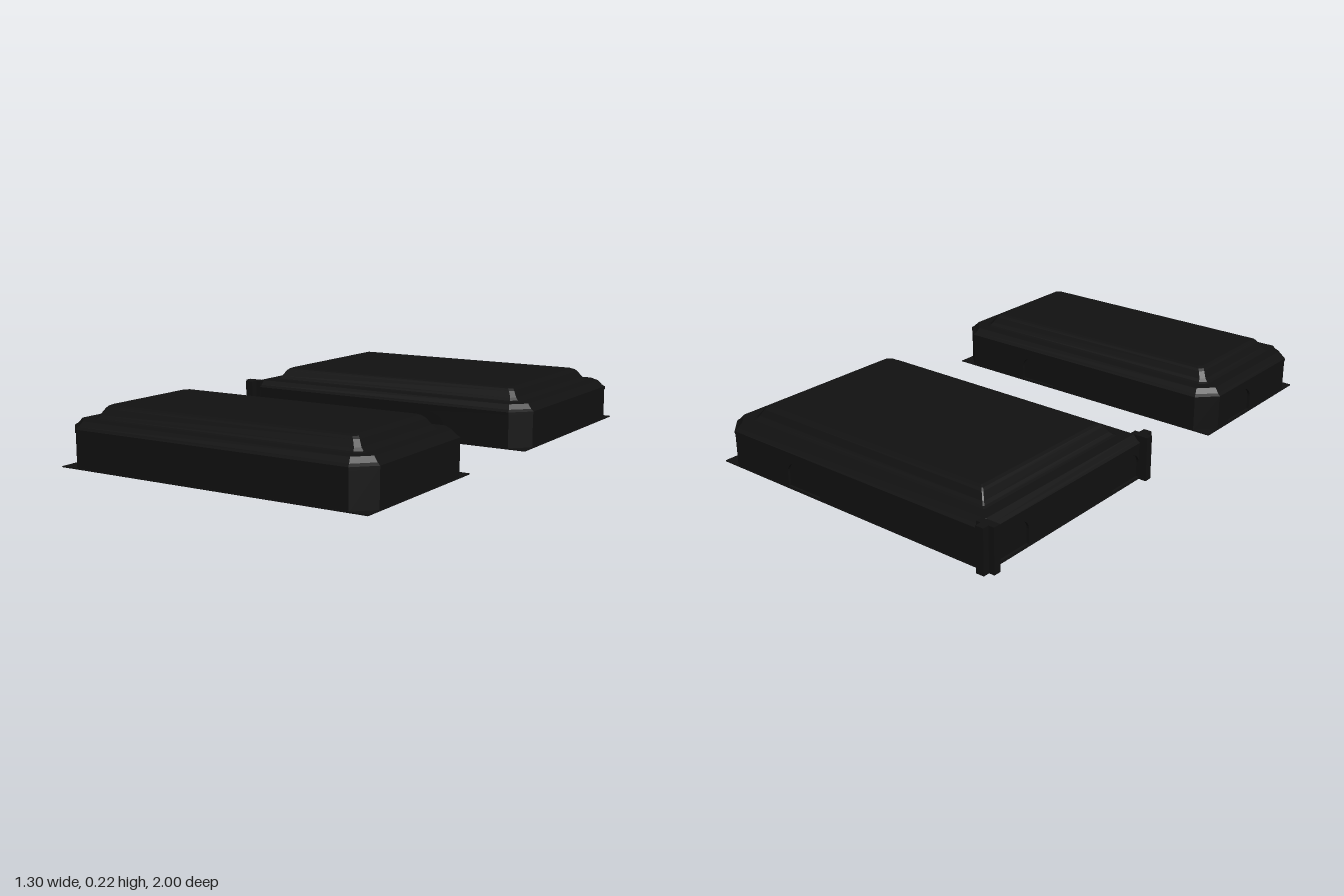
import * as THREE from 'three';

const mat = new THREE.MeshStandardMaterial({ color: 0x111111, flatShading: true });
const CUT = 0.07, WALL_H = 0.135, SKIN = 0.012;

function add(group, name, geometry) {
  const mesh = new THREE.Mesh(geometry, mat);
  mesh.name = name;
  group.add(mesh);
  return mesh;
}

// Box given by its limits on each axis
function slab(group, name, x0, x1, y0, y1, z0, z1) {
  add(group, name, new THREE.BoxGeometry(x1 - x0, y1 - y0, z1 - z0))
    .position.set((x0 + x1) / 2, (y0 + y1) / 2, (z0 + z1) / 2);
}

// Plan outline inset by d, counter-clockwise from above, with cut corners
function outline(b, d) {
  const x0 = b.x0 + d, x1 = b.x1 - d, z0 = b.z0 + d, z1 = b.z1 - d;
  const r = Math.max(0.015, CUT - 0.59 * d);
  const l = b.squareLeft ? 0.004 : r;
  return [[x1, z1 - r], [x1, z0 + r], [x1 - r, z0], [x0 + l, z0],
    [x0, z0 + l], [x0, z1 - l], [x0 + l, z1], [x1 - r, z1]];
}

// Closed shell through [inset, height] steps, capped on top
function shell(b, profile) {
  const pos = [];
  const rings = profile.map(([d, y]) => outline(b, d).map(([x, z]) => [x, y, z]));
  for (let k = 0; k + 1 < rings.length; k++) {
    for (let i = 0; i < 8; i++) {
      const j = (i + 1) % 8, lo = rings[k], hi = rings[k + 1];
      pos.push(...lo[i], ...lo[j], ...hi[j], ...lo[i], ...hi[j], ...hi[i]);
    }
  }
  const top = rings[rings.length - 1];
  for (let i = 1; i < 7; i++) pos.push(...top[0], ...top[i], ...top[i + 1]);
  const g = new THREE.BufferGeometry();
  g.setAttribute('position', new THREE.Float32BufferAttribute(pos, 3));
  g.computeVertexNormals();
  return g;
}

// Wall facing from plan point p to q, with arched recesses centred at distances along it
function wallPanel(group, p, q, doors) {
  const dx = q[0] - p[0], dz = q[1] - p[1], len = Math.hypot(dx, dz);
  const s = new THREE.Shape();
  s.moveTo(0, 0).lineTo(len, 0).lineTo(len, WALL_H).lineTo(0, WALL_H).closePath();
  for (const c of doors) {
    const w = 0.08, h = new THREE.Path();
    h.moveTo(c - w, 0.008).lineTo(c - w, 0.065);
    h.absellipse(c, 0.065, w, 0.05, Math.PI, 0, true);
    h.lineTo(c + w, 0.008).closePath();
    s.holes.push(h);
  }
  const g = new THREE.ExtrudeGeometry(s, { depth: SKIN, bevelEnabled: false, curveSegments: 10 });
  g.translate(0, 0, -SKIN);
  const m = add(group, doors.length ? 'archedWall' : 'wall', g);
  m.position.set(p[0], 0, p[1]);
  m.rotation.y = Math.atan2(-dz, dx);
}

function building(name, b) {
  const group = new THREE.Group();
  group.name = name;

  // Floor plate with square corners
  slab(group, 'floor', b.x0, b.x1, 0, 0.004, b.z0, b.z1);

  // Core walls, sloping cornice, flat ledge and raised roof with coved sides
  add(group, 'coreAndRoof', shell(b, [
    [SKIN, 0.002], [SKIN, 0.13], [0, 0.13], [0, 0.142], [0.012, 0.15], [0.028, 0.168],
    [0.07, 0.168], [0.08, 0.172], [0.09, 0.182], [0.105, 0.205], [0.113, 0.213],
    [0.125, 0.218], [0.14, 0.218],
  ]));

  // Outer wall facings on all eight sides
  const ring = outline(b, 0.002);
  ring.forEach((p, i) => {
    const q = ring[(i + 1) % 8];
    let doors = [];
    if (i === 2 && b.backDoor !== undefined) doors = [p[0] - b.backDoor];
    if (i === 6 && b.frontDoor !== undefined) doors = [b.frontDoor - p[0]];
    if (i === 4) doors = b.sideDoors.map((z) => z - p[1]);
    wallPanel(group, p, q, doors);
  });
  return group;
}

export function createModel() {
  const model = new THREE.Group();
  model.name = 'twinBlocks';

  model.add(building('frontBlock', {
    x0: -0.622, x1: 0.648, z0: 0.338, z1: 1, backDoor: 0.22, sideDoors: [0.57],
  }));

  const back = { x0: -0.622, x1: 0.648, z0: -0.975, z1: -0.11, squareLeft: true,
    backDoor: 0.22, frontDoor: 0.22, sideDoors: [-0.845, -0.22] };
  const backBlock = building('backBlock', back);

  // Crossing wall ends at the two square corners
  for (const [z, end] of [[-0.96, -1], [-0.125, -0.08]]) {
    slab(backBlock, 'crossWallEnd', -0.652, -0.58, 0, 0.168, z - 0.015, z + 0.015);
    slab(backBlock, 'sideWallEnd', -0.63, -0.598, 0, 0.168, Math.min(z, end), Math.max(z, end));
  }
  model.add(backBlock);
  return model;
}
